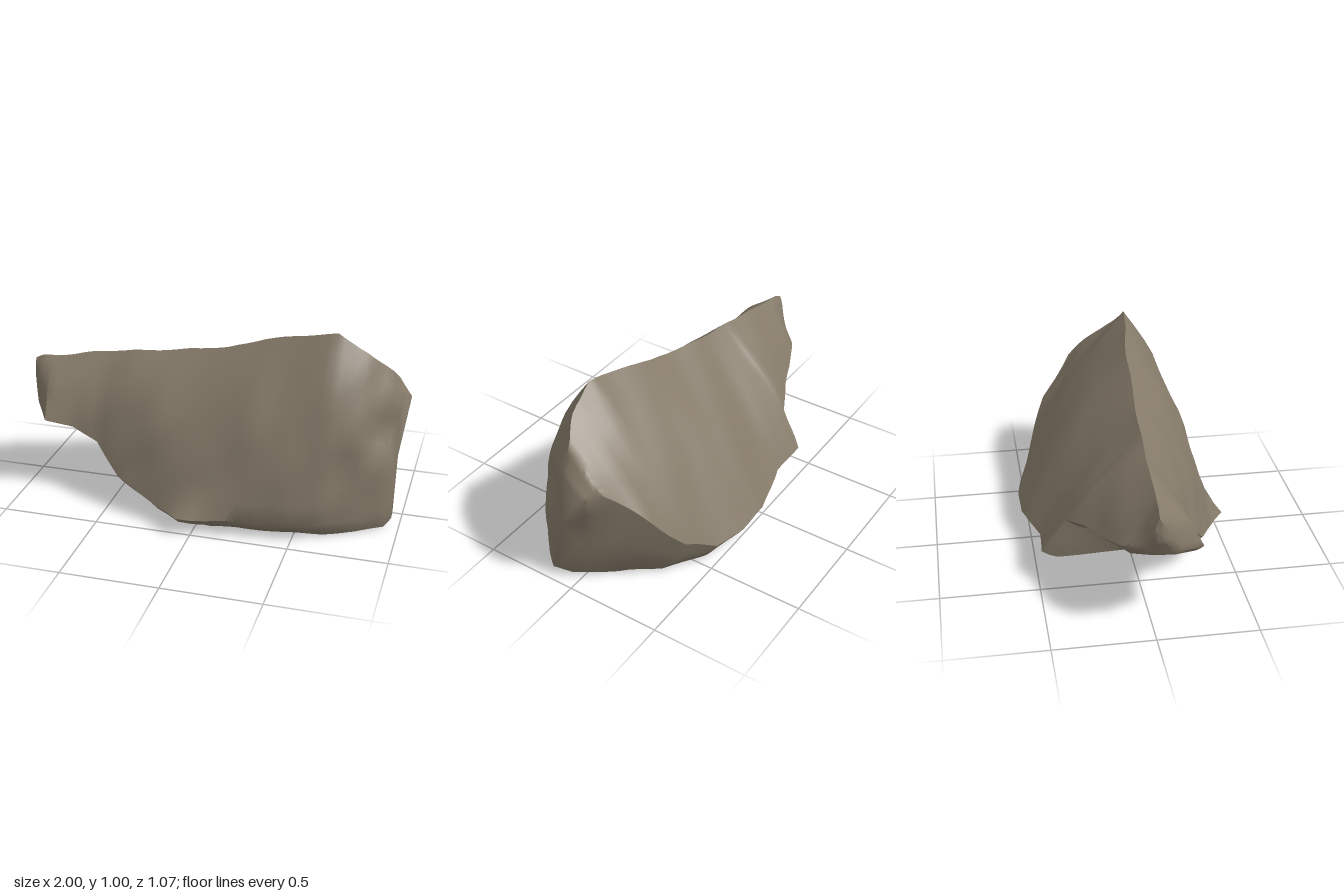
import * as THREE from 'three';
import { toCreasedNormals } from 'three/addons/utils/BufferGeometryUtils.js';

// Cross-sections along x: x, ridge y, then (y, z) of the front edge,
// front foot, back foot and back edge
const SECTIONS = [
  [-1.0, 0.67, 0.58, 0.035, 0.55, 0.03, 0.55, 0.0, 0.6, -0.01],
  [-0.95, 0.69, 0.46, 0.13, 0.44, 0.1, 0.45, 0.0, 0.49, -0.07],
  [-0.87, 0.695, 0.42, 0.25, 0.4, 0.21, 0.42, -0.1, 0.47, -0.15],
  [-0.72, 0.725, 0.39, 0.22, 0.37, 0.18, 0.4, -0.18, 0.43, -0.235],
  [-0.58, 0.75, 0.335, 0.24, 0.31, 0.19, 0.37, -0.22, 0.41, -0.285],
  [-0.44, 0.775, 0.2, 0.33, 0.15, 0.26, 0.3, -0.25, 0.36, -0.36],
  [-0.4, 0.78, 0.18, 0.35, 0.13, 0.27, 0.13, -0.4, 0.17, -0.48],
  [-0.2, 0.805, 0.11, 0.43, 0.04, 0.34, 0.05, -0.38, 0.15, -0.465],
  [0.08, 0.855, 0.09, 0.475, 0.02, 0.4, 0.015, -0.42, 0.12, -0.55],
  [0.27, 0.925, 0.095, 0.465, 0.02, 0.39, 0.01, -0.43, 0.12, -0.535],
  [0.46, 0.97, 0.095, 0.43, 0.02, 0.37, 0.01, -0.41, 0.13, -0.51],
  [0.64, 1.005, 0.095, 0.375, 0.015, 0.32, 0.01, -0.3, 0.24, -0.44],
  [0.79, 0.92, 0.09, 0.29, 0.01, 0.25, 0.015, -0.13, 0.45, -0.345],
  [0.92, 0.81, 0.09, 0.19, 0.01, 0.17, 0.03, 0.05, 0.64, -0.18],
  [0.955, 0.69, 0.09, 0.15, 0.05, 0.14, 0.07, 0.1, 0.62, -0.11],
];
const STEPS = 4;

// Local swellings and hollows: centre x, y, z, radius, push along x, y, z
const DENTS = [
  [0.96, 0.6, -0.06, 0.12, 0.045, 0, 0],
  [0.95, 0.43, 0.04, 0.1, -0.04, 0, 0],
  [0.88, 0.53, 0.14, 0.1, -0.03, 0, -0.045],
  [0.75, 0.36, 0.33, 0.08, 0, 0, -0.03],
  [-0.06, 0.07, 0.46, 0.09, 0, 0, 0.08],
];

const lerp = THREE.MathUtils.lerp;

// Straight run from p to q, bowed outwards; the end point is left out
function run(p, q, count, bow, skew = 1) {
  const out = [];
  for (let i = 0; i < count; i++) {
    const t = i / count;
    const b = bow * Math.sin(Math.PI * t ** skew);
    const dy = q[0] - p[0], dz = q[1] - p[1];
    out.push([p[0] + dy * t + dz * b, p[1] + dz * t - dy * b]);
  }
  return out;
}

function ring(s) {
  const ridgeZ = Math.min(0.1, 0.01 + 0.032 * (s[0] + 1) ** 2)
    - 0.07 * THREE.MathUtils.smoothstep(s[0], 0.75, 0.95);
  const ridge = [s[1], ridgeZ];
  const front = [s[2], s[3]], frontFoot = [s[4], s[5]];
  const backFoot = [s[6], s[7]], back = [s[8], s[9]];
  return [
    ...run(ridge, front, 10, 0.095, 0.9),
    ...run(front, frontFoot, 2, 0.06),
    ...run(frontFoot, backFoot, 6, 0),
    ...run(backFoot, back, 5, 0.06),
    ...run(back, ridge, 8, 0.04),
  ];
}

// Gentle weathering plus the local dents
function weather(x, y, z) {
  const w = 0.005;
  const p = [
    x + w * Math.sin(13 * y + 9 * z),
    y + w * Math.sin(17 * x + 11 * z) * Math.sin(7 * x),
    z + w * (Math.sin(12 * x + 8 * y) + 0.7 * Math.sin(23 * y - 15 * x)),
  ];
  for (const [cx, cy, cz, r, ...push] of DENTS) {
    const f = Math.exp(-((x - cx) ** 2 + (y - cy) ** 2 + (z - cz) ** 2) / (r * r));
    push.forEach((d, i) => { p[i] += d * f; });
  }
  p[0] = THREE.MathUtils.clamp(p[0], -1, 1);
  p[1] = Math.max(0, p[1]);
  return p;
}

function boulderGeometry() {
  const rows = [];
  for (let i = 0; i < SECTIONS.length - 1; i++) {
    for (let k = 0; k < STEPS; k++) {
      rows.push(SECTIONS[i].map((v, j) => lerp(v, SECTIONS[i + 1][j], k / STEPS)));
    }
  }
  rows.push(SECTIONS[SECTIONS.length - 1]);

  const pos = [], index = [];
  let n = 0;
  for (const row of rows) {
    const pts = ring(row);
    n = pts.length;
    for (const [y, z] of pts) pos.push(...weather(row[0], y, z));
  }

  // Skin between neighbouring sections
  for (let r = 0; r < rows.length - 1; r++) {
    for (let i = 0; i < n; i++) {
      const a = r * n + i, b = r * n + ((i + 1) % n);
      index.push(a, b, a + n, b, b + n, a + n);
    }
  }

  // End faces
  for (const end of [0, rows.length - 1]) {
    const c = [0, 0, 0], start = end * n, centre = pos.length / 3;
    for (let i = 0; i < n * 3; i++) c[i % 3] += pos[start * 3 + i] / n;
    pos.push(...c);
    for (let i = 0; i < n; i++) {
      const a = start + i, b = start + ((i + 1) % n);
      if (end) index.push(centre, a, b);
      else index.push(centre, b, a);
    }
  }

  const geo = new THREE.BufferGeometry();
  geo.setAttribute('position', new THREE.Float32BufferAttribute(pos, 3));
  geo.setIndex(index);
  return toCreasedNormals(geo, 0.85);
}

export function createModel() {
  const stone = new THREE.MeshStandardMaterial({ color: 0x857a69 });
  stone.name = 'stone';
  const boulder = new THREE.Mesh(boulderGeometry(), stone);
  boulder.name = 'boulder';
  const group = new THREE.Group();
  group.name = 'rock';
  group.add(boulder);
  return group;
}
